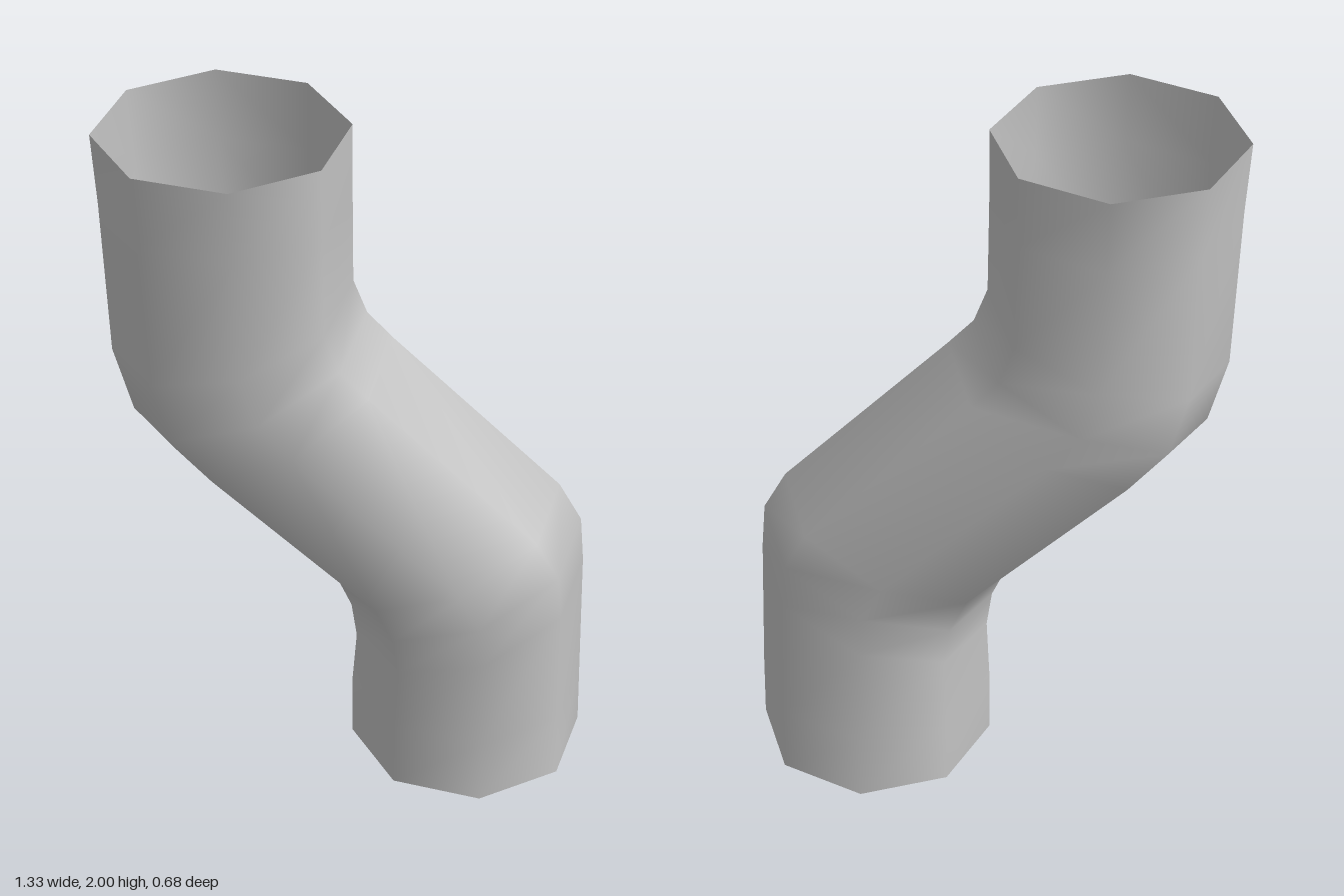
import * as THREE from 'three';

const SIDES = 8;

// Cross-sections from bottom to top: left x, y; right x, y; back z, front z
const RINGS = [
  [0.0, 0.0, 0.667, 0.0, -0.333, 0.335],
  [0.0, 0.2, 0.663, 0.2, -0.33, 0.335],
  [0.01, 0.37, 0.652, 0.6, -0.296, 0.34],
  [-0.005, 0.48, 0.64, 0.74, -0.296, 0.341],
  [-0.05, 0.585, 0.575, 0.86, -0.302, 0.34],
  [-0.48, 1.02, 0.11, 1.35, -0.326, 0.315],
  [-0.59, 1.16, 0.04, 1.43, -0.336, 0.312],
  [-0.64, 1.35, 0.003, 1.53, -0.341, 0.315],
  [-0.655, 1.8, 0.0, 1.8, -0.332, 0.335],
  [-0.667, 2.0, 0.0, 2.0, -0.333, 0.335],
];

// Skin an open tube through the tilted octagonal sections
function tubeGeometry() {
  const positions = [];
  const index = [];
  RINGS.forEach(([lx, ly, rx, ry, back, front], i) => {
    for (let j = 0; j < SIDES; j++) {
      const angle = (j / SIDES) * Math.PI * 2;
      const c = Math.cos(angle) / 2;
      const s = Math.sin(angle) / 2;
      positions.push(
        (lx + rx) / 2 + c * (rx - lx),
        (ly + ry) / 2 + c * (ry - ly),
        (back + front) / 2 + s * (front - back)
      );
      if (i === RINGS.length - 1) continue;
      const a = i * SIDES + j;
      const b = i * SIDES + ((j + 1) % SIDES);
      index.push(a, a + SIDES, b, b, a + SIDES, b + SIDES);
    }
  });
  const geometry = new THREE.BufferGeometry();
  geometry.setAttribute('position', new THREE.Float32BufferAttribute(positions, 3));
  geometry.setIndex(index);
  geometry.computeVertexNormals();
  return geometry;
}

export function createModel() {
  const group = new THREE.Group();
  group.name = 'offsetPipe';

  const grey = new THREE.MeshStandardMaterial({ color: 0xc4c4c4, side: THREE.DoubleSide });
  grey.name = 'pipe grey';

  const pipe = new THREE.Mesh(tubeGeometry(), grey);
  pipe.name = 'pipeWall';
  group.add(pipe);
  return group;
}
